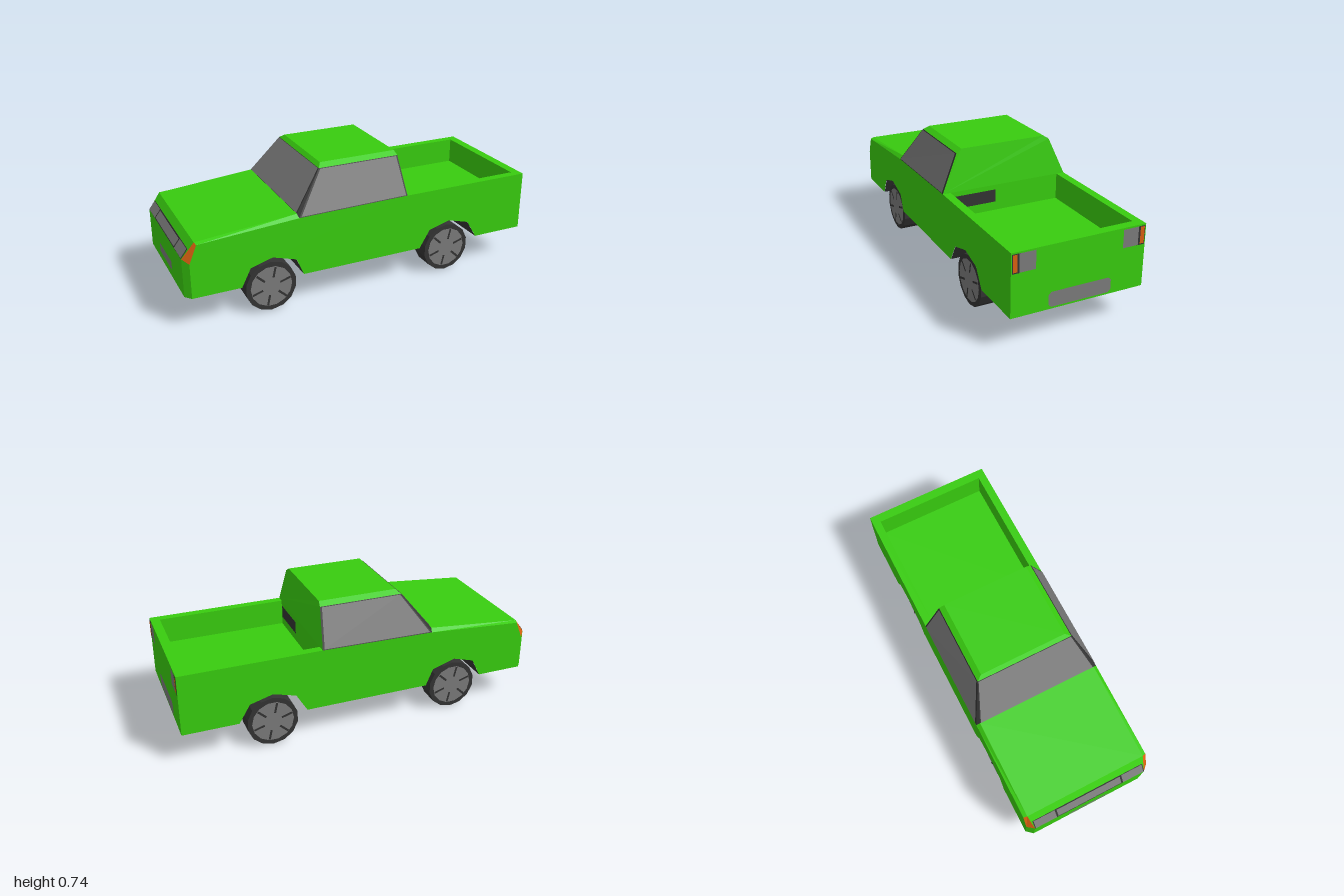
import * as THREE from 'three';

const mat = (name, color) => new THREE.MeshStandardMaterial({ name, color, side: THREE.DoubleSide });

export function createModel() {
  const truck = new THREE.Group();
  truck.name = 'pickupTruck';
  const green = mat('green paint', 0x38cc0f);
  const grey = mat('grey glass and lamps', 0x7a7a7a);
  const dark = mat('dark rubber and trim', 0x333333);
  const orange = mat('orange indicator', 0xd86010);

  const add = (name, geometry, material, parent = truck) => {
    const mesh = new THREE.Mesh(geometry, material);
    mesh.name = name;
    parent.add(mesh);
    return mesh;
  };

  // flat convex panel from its corners, optionally shifted along its normal
  const panel = (name, material, pts, shift = 0) => {
    const v = pts.map(p => new THREE.Vector3(...p));
    const n = v[1].clone().sub(v[0]).cross(v[2].clone().sub(v[0])).normalize().multiplyScalar(shift);
    v.forEach(p => p.add(n));
    const tris = [];
    for (let i = 1; i < v.length - 1; i++) tris.push(v[0], v[i], v[i + 1]);
    const g = new THREE.BufferGeometry().setFromPoints(tris);
    g.computeVertexNormals();
    return add(name, g, material);
  };
  // painted detail visible on both sides of the thin shell
  const decal = (name, material, pts, shift = 0.003) => {
    panel(name, material, pts, shift);
    panel(name + 'Inside', material, pts, -shift);
  };
  // mirrored corners across z, keeping the winding
  const side = (s, pts) => s > 0 ? pts : pts.map(([x, y, z]) => [x, y, -z]).reverse();
  // shrinks a panel towards its centre
  const inset = (pts, k) => {
    const c = [0, 1, 2].map(i => pts.reduce((a, p) => a + p[i], 0) / pts.length);
    return pts.map(p => p.map((q, i) => c[i] + (q - c[i]) * k));
  };
  // rectangle lying in a plane of constant x, facing back (d = 1) or forward (d = -1)
  const rectX = (x, y0, y1, z0, z1, d) => {
    const r = [[x, y0, z1], [x, y0, z0], [x, y1, z0], [x, y1, z1]];
    return d > 0 ? r : r.reverse();
  };

  const W = 0.365, FLOOR = 0.37, RIM = 0.515;
  const arches = [
    [[-0.71, 0.18], [-0.66, 0.28], [-0.54, 0.315], [-0.41, 0.275], [-0.37, 0.18]],
    [[0.33, 0.18], [0.39, 0.28], [0.515, 0.315], [0.64, 0.28], [0.70, 0.18]],
  ];

  // body sides with the wheel openings cut into the lower edge
  const outline = [[-0.97, 0.18], ...arches[0], ...arches[1], [1, 0.18], [1, RIM], [0.24, RIM],
    [-0.39, 0.505], [-0.93, 0.468], [-0.97, 0.37]];
  for (const s of [1, -1]) {
    const g = new THREE.ShapeGeometry(new THREE.Shape(outline.map(p => new THREE.Vector2(...p))));
    add('bodySide', g.translate(0, 0, s * W), green);
  }

  // wheel arch tunnels across the full width
  for (const arch of arches) {
    for (let i = 0; i < 4; i++) {
      const [a, b] = [arch[i], arch[i + 1]], w = W - 0.002;
      panel('wheelArch', dark, [[...a, w], [...a, -w], [...b, -w], [...b, w]]);
    }
  }

  // nose and hood
  panel('noseFront', green, rectX(-1, 0.18, 0.39, -0.33, 0.33, -1));
  panel('noseSlope', green, [[-1, 0.39, -0.33], [-1, 0.39, 0.33], [-0.935, 0.475, 0.345], [-0.935, 0.475, -0.345]]);
  panel('hood', green, [[-0.935, 0.475, 0.345], [-0.395, 0.523, 0.345], [-0.395, 0.523, -0.345], [-0.935, 0.475, -0.345]]);
  for (const s of [1, -1]) {
    panel('noseCorner', green, side(s, [[-1, 0.18, 0.33], [-0.97, 0.18, W], [-0.97, 0.37, W], [-1, 0.39, 0.33]]));
    panel('frontIndicator', orange, side(s, [[-1, 0.39, 0.33], [-0.97, 0.37, W], [-0.93, 0.468, W], [-0.935, 0.475, 0.345]]));
    panel('hoodEdge', green, side(s, [[-0.93, 0.468, W], [-0.39, 0.505, W], [-0.395, 0.523, 0.345], [-0.935, 0.475, 0.345]]));
  }

  // lamps, grille and plate on the nose
  const slopeRect = (z0, z1, t0, t1) => {
    const at = (t, z) => [-1 + 0.065 * t, 0.39 + 0.085 * t, z];
    return [at(t0, z0), at(t0, z1), at(t1, z1), at(t1, z0)];
  };
  decal('grilleSurround', dark, slopeRect(-0.33, 0.33, 0.01, 0.56), 0.002);
  decal('grille', grey, slopeRect(-0.19, 0.19, 0.06, 0.5), 0.004);
  for (const s of [1, -1]) decal('headlamp', grey, side(s, slopeRect(0.2, 0.325, 0.03, 0.54)), 0.004);
  decal('frontPlate', grey, rectX(-1, 0.23, 0.28, -0.12, 0.12, -1));

  // cab roof with chamfered edges
  const roof = [[-0.22, 0.74, 0.245], [0.215, 0.74, 0.245], [0.215, 0.74, -0.245], [-0.22, 0.74, -0.245]];
  panel('roof', green, roof);
  panel('roofFrontEdge', green, [[-0.24, 0.72, -0.275], [-0.24, 0.72, 0.275], roof[0], roof[3]]);
  for (const s of [1, -1]) {
    panel('roofSideEdge', green, side(s, [[-0.24, 0.72, 0.275], [0.22, 0.72, 0.275], roof[1], roof[0]]));
  }
  panel('cabBack', green, [[0.24, RIM, W], [0.24, RIM, -W], [0.22, 0.72, -0.275], [0.215, 0.74, -0.245],
    [0.215, 0.74, 0.245], [0.22, 0.72, 0.275]]);

  // windows: dark seal with the glass over it
  const windshield = [[-0.395, 0.523, -0.345], [-0.395, 0.523, 0.345], [-0.24, 0.72, 0.275], [-0.24, 0.72, -0.275]];
  panel('windshieldSeal', dark, windshield);
  decal('windshield', grey, inset(windshield, 0.985));
  for (const s of [1, -1]) {
    const win = side(s, [[-0.39, 0.505, W], [0.24, RIM, W], [0.22, 0.72, 0.275], [-0.24, 0.72, 0.275]]);
    panel('sideWindowSeal', dark, win);
    decal('sideWindow', grey, inset(win, 0.965));
    panel('windowPost', dark, side(s, [[-0.395, 0.523, 0.345], [-0.39, 0.505, W], [-0.24, 0.72, 0.275]]));
  }

  // cargo bed: floor, inner walls, rim and tailgate
  const bz = 0.32, bx = 0.95;
  panel('bedFloor', green, [[0.24, FLOOR, bz], [bx, FLOOR, bz], [bx, FLOOR, -bz], [0.24, FLOOR, -bz]]);
  panel('bedFrontWall', green, rectX(0.24, FLOOR, RIM, -bz, bz, 1));
  panel('bedBackWall', green, rectX(bx, FLOOR, RIM, -bz, bz, -1));
  panel('bedFrontPatch', dark, rectX(0.244, 0.42, 0.49, 0.06, 0.3, 1));
  for (const s of [1, -1]) {
    panel('bedSideWall', green, side(s, [[bx, FLOOR, bz], [0.24, FLOOR, bz], [0.24, RIM, bz], [bx, RIM, bz]]));
    panel('bedSideRim', green, side(s, [[0.24, RIM, W], [1, RIM, W], [1, RIM, bz], [0.24, RIM, bz]]));
  }
  panel('bedBackRim', green, [[bx, RIM, bz], [1, RIM, bz], [1, RIM, -bz], [bx, RIM, -bz]]);
  panel('tailgate', green, rectX(1, 0.18, RIM, -W, W, 1));

  // tail lamps and rear plate
  for (const s of [1, -1]) {
    decal('tailLampSeal', dark, side(s, rectX(0.995, 0.408, 0.507, 0.318, 0.36, 1)), 0.006);
    decal('tailLamp', grey, side(s, rectX(0.995, 0.41, 0.507, 0.237, 0.323, 1)), 0.007);
    decal('rearIndicator', orange, side(s, rectX(0.995, 0.415, 0.504, 0.333, 0.356, 1)), 0.008);
  }
  const c = 0.015;
  decal('rearPlate', grey, [[0.18 - c, 0.19], [-0.18 + c, 0.19], [-0.18, 0.19 + c], [-0.18, 0.27 - c],
    [-0.18 + c, 0.27], [0.165 - c, 0.27], [0.165, 0.27 - c], [0.165, 0.19 + c]].map(([z, y], i) =>
    [0.997, y, i === 0 ? 0.165 - c : z]), 0.004);

  // wheels: dark tyre, grey hub and dark slots
  const tyre = new THREE.CylinderGeometry(0.14, 0.14, 0.108, 14).rotateX(Math.PI / 2).toNonIndexed();
  tyre.computeVertexNormals();
  const hub = new THREE.CircleGeometry(0.115, 14);
  const slot = new THREE.PlaneGeometry(0.06, 0.012).translate(0.08, 0, 0);
  for (const x of [-0.545, 0.515]) {
    for (const s of [1, -1]) {
      const wheel = new THREE.Group();
      wheel.name = 'wheel';
      wheel.position.set(x, 0.14, s * 0.29);
      if (s < 0) wheel.rotation.y = Math.PI;
      add('tyre', tyre, dark, wheel);
      add('hub', hub, grey, wheel).position.z = 0.056;
      for (let i = 0; i < 6; i++) {
        const m = add('hubSlot', slot, dark, wheel);
        m.position.z = 0.058;
        m.rotation.z = i * Math.PI / 3 + 0.3;
      }
      truck.add(wheel);
    }
  }
  return truck;
}
